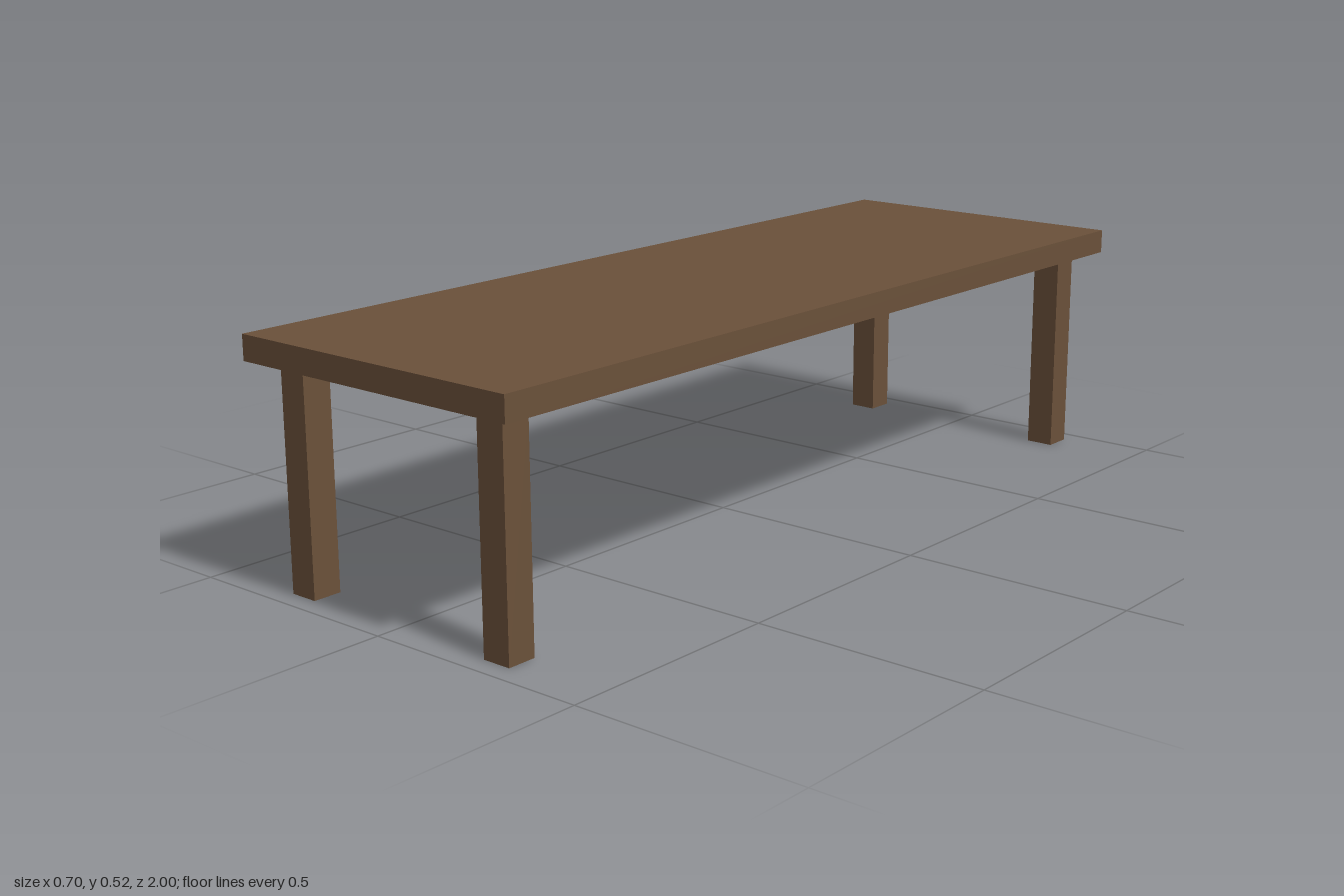
import * as THREE from 'three';

const wood = new THREE.MeshStandardMaterial({ color: 0x6b513a });

// Box standing on the given base height
function block(name, width, height, depth, x, base, z) {
  const mesh = new THREE.Mesh(new THREE.BoxGeometry(width, height, depth), wood);
  mesh.name = name;
  mesh.position.set(x, base + height / 2, z);
  return mesh;
}

export function createModel() {
  const table = new THREE.Group();
  table.name = 'table';

  const legHeight = 0.468;
  const legWidth = 0.064;

  // Long flat top
  table.add(block('tableTop', 0.702, 0.053, 2, 0, legHeight, 0));

  // Four square legs, set in from the corners
  for (const [end, sz] of [['front', 1], ['back', -1]]) {
    for (const [side, sx] of [['Left', 1], ['Right', -1]]) {
      table.add(block(`${end}${side}Leg`, legWidth, legHeight, legWidth, sx * 0.266, 0, sz * 0.923));
    }
  }
  return table;
}
